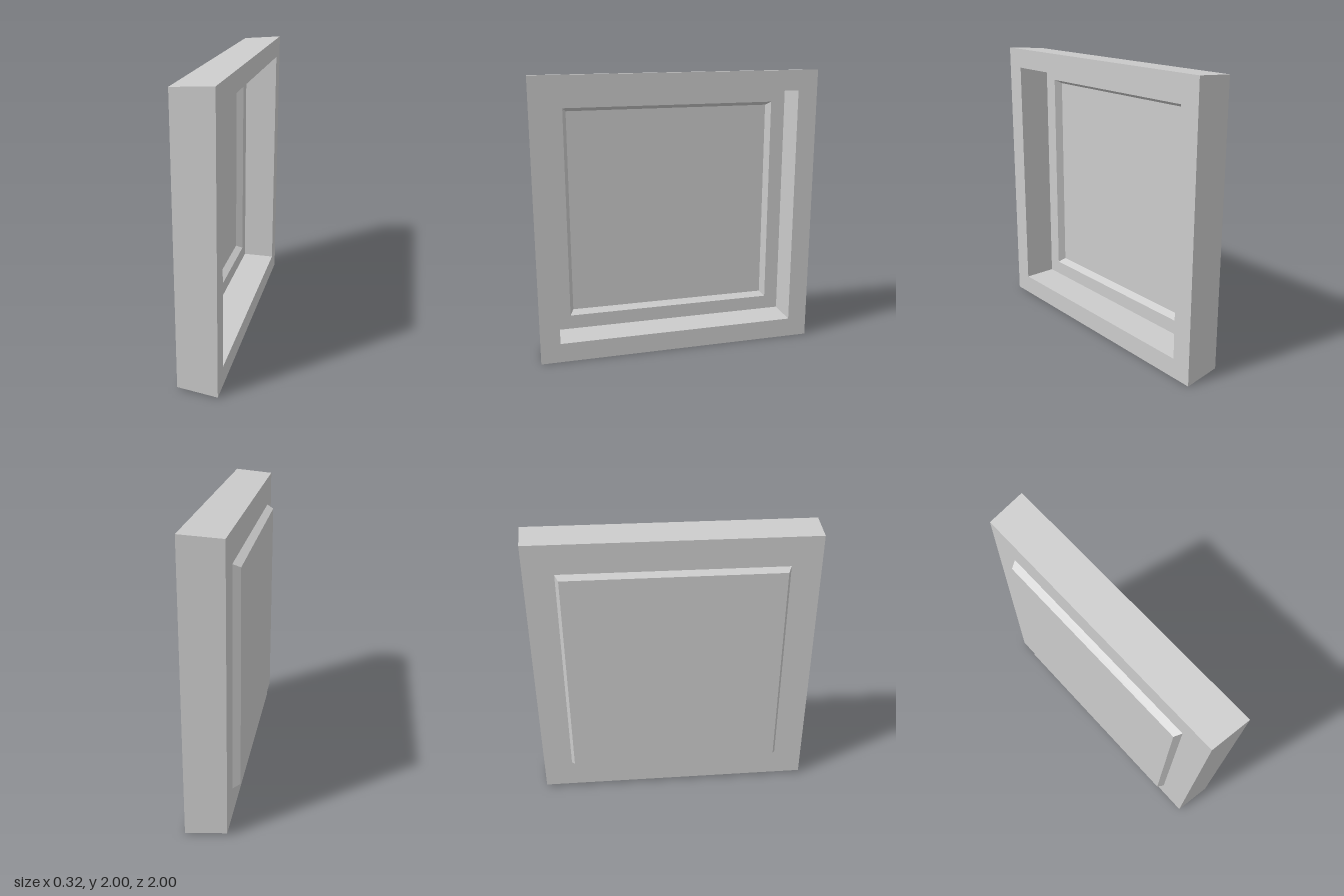
import * as THREE from 'three';

// Square shell: a four-sided lathe whose profile is [half width, x]
function squareLathe(profile) {
  const points = profile.map(([half, x]) => new THREE.Vector2(half * Math.SQRT2, x));
  let geometry = new THREE.LatheGeometry(points, 4);
  geometry.rotateY(Math.PI / 4);
  geometry.rotateZ(-Math.PI / 2);
  geometry = geometry.toNonIndexed();
  geometry.computeVertexNormals();
  return geometry;
}

export function createModel() {
  const model = new THREE.Group();
  model.name = 'framedPanel';
  const material = new THREE.MeshStandardMaterial({ color: 0xcccccc, flatShading: true });

  const shell = new THREE.Mesh(squareLathe([
    // raised panel and tapered frame, outside
    [0, -0.1625], [0.75, -0.1625], [0.775, -0.114], [0.98, -0.114], [1, 0.1625],
    // rim, deep recess, ledge and sunken panel, inside
    [0.86, 0.1625], [0.86, -0.077], [0.757, -0.077], [0.73, -0.126], [0, -0.126],
  ]), material);
  shell.name = 'frameAndPanel';
  shell.position.y = 1;
  model.add(shell);
  return model;
}
